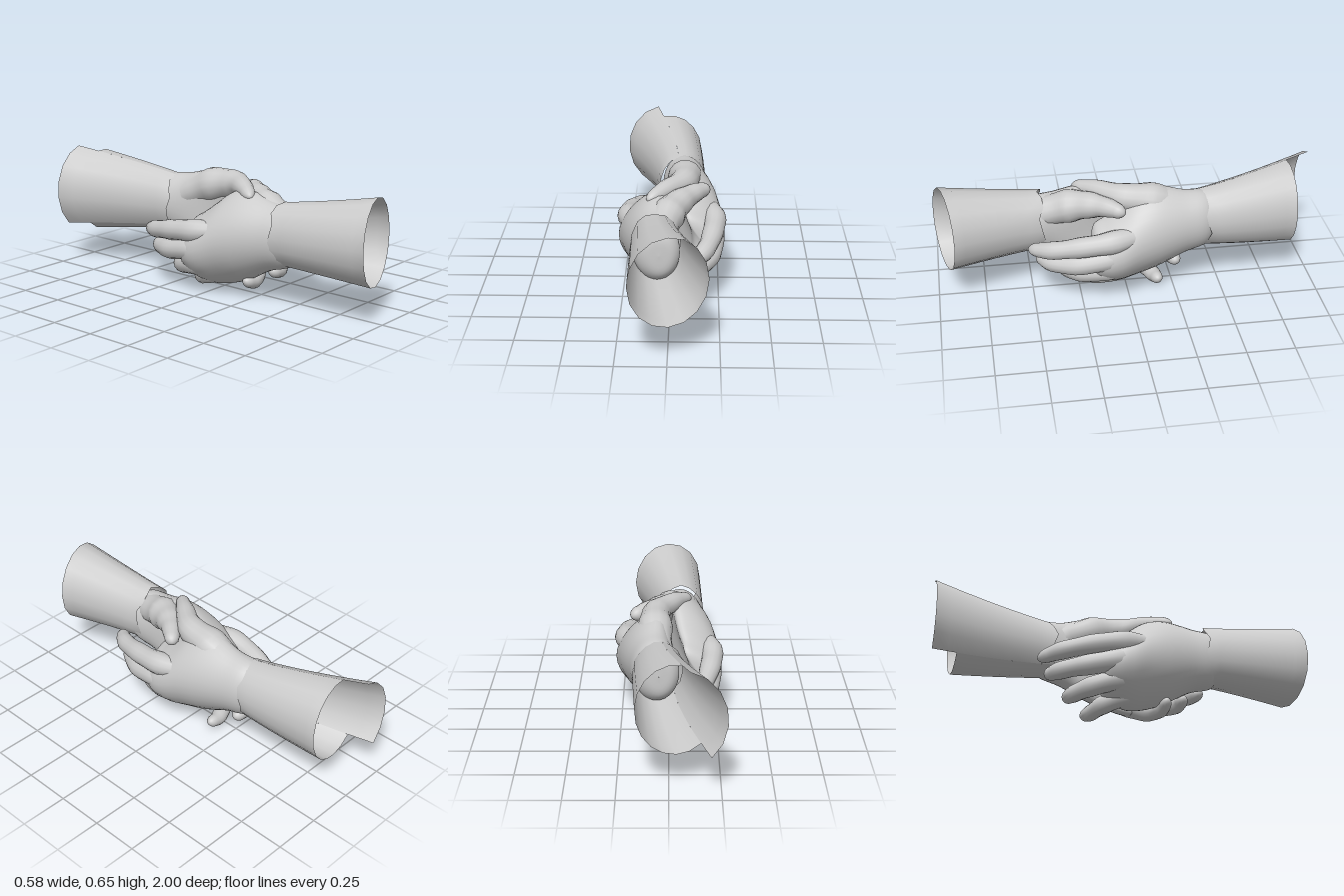
import * as THREE from 'three';
import { mergeVertices } from 'three/addons/utils/BufferGeometryUtils.js';

const material = new THREE.MeshStandardMaterial({ color: 0xcccccc });
const clothMaterial = new THREE.MeshStandardMaterial({ color: 0xcccccc, side: THREE.DoubleSide });
const V = (x, y, z) => new THREE.Vector3(x, y, z);

// Skin a list of equal-length rows of points with smooth normals.
function skin(name, rows, mat = material) {
  const n = rows[0].length, index = [];
  for (let i = 0; i < rows.length - 1; i++) {
    for (let j = 0; j < n - 1; j++) {
      const a = i * n + j, b = a + 1, c = a + n, d = c + 1;
      index.push(a, b, c, b, d, c);
    }
  }
  let geo = new THREE.BufferGeometry().setFromPoints(rows.flat());
  geo.setIndex(index);
  geo = mergeVertices(geo, 1e-5);
  geo.computeVertexNormals();
  const mesh = new THREE.Mesh(geo, mat);
  mesh.name = name;
  return mesh;
}

// Tapered, round-tipped finger; each key is [x, y, z, radius].
function finger(name, keys) {
  const curve = new THREE.CatmullRomCurve3(keys.map(k => V(k[0], k[1], k[2])));
  const rows = [], steps = 32, sides = 14, u0 = 0.88;
  for (let i = 0; i <= steps; i++) {
    const u = i < 22 ? (u0 * i) / 22 : u0 + (1 - u0) * Math.sin(((i - 22) / 10) * Math.PI / 2);
    const s = u * (keys.length - 1), k = Math.min(Math.floor(s), keys.length - 2);
    let r = THREE.MathUtils.lerp(keys[k][3], keys[k + 1][3], s - k);
    r *= 1 + 0.03 * Math.cos(s * Math.PI * 2); // joints slightly thicker
    if (u > u0) r *= Math.sqrt(Math.max(0, 1 - ((u - u0) / (1 - u0)) ** 2));
    const p = curve.getPoint(u), t = curve.getTangent(u);
    const nrm = t.clone().cross(V(0, 1, 0)).normalize(), bin = t.clone().cross(nrm);
    const row = [];
    for (let j = 0; j <= sides; j++) {
      const a = ((j % sides) / sides) * Math.PI * 2;
      row.push(p.clone().addScaledVector(nrm, r * Math.cos(a)).addScaledVector(bin, r * Math.sin(a)));
    }
    rows.push(row);
  }
  return skin(name, rows);
}

// Palm sections: [z, centre x, centre y, half width, half height, inward curl]
const PALM = [
  [-0.475, 0.05, 0.40, 0.001, 0.001, 0],
  [-0.465, 0.05, 0.40, 0.070, 0.100, 0],
  [-0.42, 0.06, 0.40, 0.112, 0.150, 0],
  [-0.30, 0.09, 0.39, 0.115, 0.180, 0.02],
  [-0.15, 0.13, 0.367, 0.115, 0.238, 0.07],
  [-0.05, 0.155, 0.340, 0.110, 0.248, 0.10],
  [0.05, 0.18, 0.295, 0.100, 0.220, 0.11],
  [0.12, 0.19, 0.275, 0.085, 0.185, 0.10],
  [0.18, 0.185, 0.27, 0.060, 0.150, 0.09],
  [0.20, 0.18, 0.27, 0.001, 0.001, 0]
];

function palm() {
  const sides = 32, steps = 45, columns = [];
  for (let j = 0; j <= sides; j++) {
    const a = ((j % sides) / sides) * Math.PI * 2, s = Math.sin(a), c = Math.cos(a);
    columns.push(new THREE.CatmullRomCurve3(PALM.map(([z, cx, cy, rx, ry, bend]) =>
      V(cx + rx * c - bend * s * s, cy + ry * s, z))));
  }
  const rows = [];
  for (let i = 0; i <= steps; i++) rows.push(columns.map(c => c.getPoint(i / steps)));
  return skin('palm', rows);
}

const FINGERS = {
  indexFinger: [[0.17, 0.40, -0.10, 0.05], [0.226, 0.385, 0.09, 0.060], [0.213, 0.36, 0.26, 0.053],
    [0.17, 0.33, 0.41, 0.046], [0.095, 0.305, 0.52, 0.034]],
  middleFinger: [[0.17, 0.32, -0.08, 0.05], [0.218, 0.285, 0.11, 0.06], [0.20, 0.25, 0.28, 0.053],
    [0.13, 0.235, 0.41, 0.045], [0.05, 0.235, 0.47, 0.034]],
  ringFinger: [[0.15, 0.24, -0.06, 0.046], [0.18, 0.195, 0.11, 0.057], [0.13, 0.16, 0.25, 0.051],
    [0.05, 0.145, 0.325, 0.043], [-0.04, 0.155, 0.345, 0.032]],
  littleFinger: [[0.10, 0.19, -0.06, 0.042], [0.105, 0.135, 0.07, 0.053], [0.06, 0.095, 0.17, 0.048],
    [-0.03, 0.080, 0.22, 0.040], [-0.12, 0.102, 0.235, 0.029]]
};

// A left hand reaching along +z with its back towards +x.
function hand(name, thumb) {
  const g = new THREE.Group();
  g.name = name;
  g.add(palm(), finger('thumb', thumb));
  for (const [part, keys] of Object.entries(FINGERS)) g.add(finger(part, keys));
  return g;
}

// Flared open sleeve over an angle range; point(angle, t) gives its surface.
function sleeve(name, point, from, to, tMax, columns) {
  const rows = [];
  for (let i = 0; i <= 8; i++) {
    const row = [];
    for (let j = 0; j <= columns; j++) {
      const a = THREE.MathUtils.degToRad(from + ((to - from) * j) / columns);
      row.push(point(a, (tMax * i) / 8));
    }
    rows.push(row);
  }
  return skin(name, rows, clothMaterial);
}

const ragged = (a, t) => 0.015 * Math.sin(5 * a) * Math.max(0, 1 - 4 * t);

function frontSleevePoint(a, t) {
  const f = t ** 1.2, c = Math.cos(a), s = Math.sin(a);
  const x = -0.07 + 0.075 * f + (0.125 + 0.065 * f) * c;
  const y = 0.385 + 0.025 * f + (0.165 + 0.06 * f) * s;
  return V(x, y, 0.44 + 0.51 * t - 0.05 * c * t + ragged(a, t));
}

function rearSleevePoint(a, t) {
  const f = t ** 1.4, c = Math.cos(a), s = Math.sin(a);
  const x = 0.055 - 0.085 * f + (0.125 + 0.065 * f) * c;
  const y = 0.40 + 0.01 * t + (0.155 + 0.073 * t) * s;
  const start = -0.385 - 0.035 * c;
  return V(x, y, THREE.MathUtils.lerp(start, -0.88 - 0.015 * c, t) + ragged(a, t));
}

export function createModel() {
  const model = new THREE.Group();
  model.name = 'handshake';

  const rearHand = hand('rearHand', [[0.06, 0.46, -0.30, 0.08], [0.07, 0.53, -0.13, 0.09],
    [0.06, 0.555, 0.02, 0.07], [-0.025, 0.565, 0.15, 0.048], [-0.115, 0.55, 0.265, 0.033]]);

  const frontHand = hand('frontHand', [[0.05, 0.475, -0.36, 0.08], [0.01, 0.52, -0.22, 0.088],
    [-0.055, 0.55, -0.11, 0.067], [-0.125, 0.565, -0.03, 0.048], [-0.195, 0.565, 0.04, 0.034]]);
  frontHand.rotation.y = Math.PI;
  frontHand.position.set(0, -0.035, 0.07);

  // The rear sleeve has one panel longer than the other, leaving a stepped edge.
  const rearSleeve = new THREE.Group();
  rearSleeve.name = 'rearSleeve';
  rearSleeve.add(
    sleeve('shortPanel', rearSleevePoint, -130, 100, 1, 12),
    sleeve('longPanel', rearSleevePoint, 100, 230, 1.25, 6)
  );

  model.add(rearHand, frontHand, rearSleeve,
    sleeve('frontSleeve', frontSleevePoint, 0, 360, 1, 16));
  return model;
}
